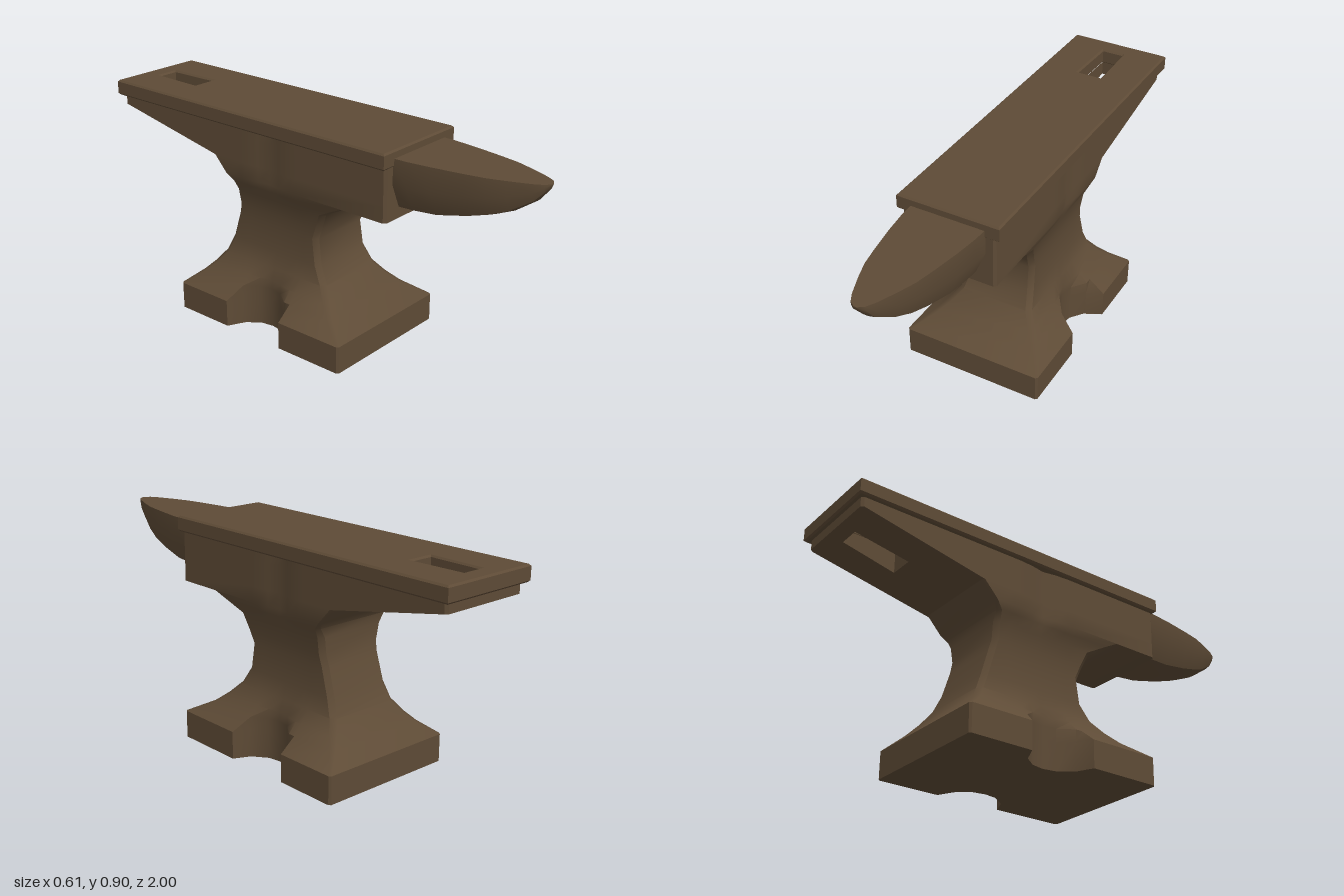
import * as THREE from 'three';
import { toCreasedNormals } from 'three/addons/utils/BufferGeometryUtils.js';

const HOLE = [[0.052, -0.69], [0.045, -0.92], [-0.045, -0.92], [-0.052, -0.69]];
const CREASE = 0.65;

// Skin a list of closed rings; optional end caps and a test for quads to leave open.
function loft(rings, { capStart = false, capEnd = false, skip = () => false } = {}) {
  const n = rings[0].length;
  const positions = [];
  const tri = (...pts) => pts.forEach((p) => positions.push(...p));
  for (let r = 0; r < rings.length - 1; r++) {
    for (let i = 0; i < n; i++) {
      if (skip(r, i)) continue;
      const j = (i + 1) % n;
      const [a, b, c, d] = [rings[r][i], rings[r][j], rings[r + 1][j], rings[r + 1][i]];
      tri(a, b, c);
      tri(a, c, d);
    }
  }
  const cap = (ring, flip) => {
    const mid = [0, 1, 2].map((k) => ring.reduce((s, p) => s + p[k], 0) / n);
    ring.forEach((p, i) => {
      const q = ring[(i + 1) % n];
      flip ? tri(mid, q, p) : tri(mid, p, q);
    });
  };
  if (capStart) cap(rings[0], true);
  if (capEnd) cap(rings[rings.length - 1], false);
  const geometry = new THREE.BufferGeometry();
  geometry.setAttribute('position', new THREE.Float32BufferAttribute(positions, 3));
  return toCreasedNormals(geometry, CREASE);
}

// Rectangle in x/z with the square tool hole cut out.
function holedRect(halfWidth, zFront, zBack) {
  const shape = new THREE.Shape([
    new THREE.Vector2(-halfWidth, zBack), new THREE.Vector2(halfWidth, zBack),
    new THREE.Vector2(halfWidth, zFront), new THREE.Vector2(-halfWidth, zFront),
  ]);
  shape.holes.push(new THREE.Path(HOLE.map(([x, z]) => new THREE.Vector2(x, z))));
  return shape;
}

export function createModel() {
  const model = new THREE.Group();
  model.name = 'anvil';
  const iron = new THREE.MeshStandardMaterial({ color: 0x5e4b36 });
  iron.name = 'brown iron';
  const add = (name, geometry) => {
    const mesh = new THREE.Mesh(geometry, iron);
    mesh.name = name;
    model.add(mesh);
    return mesh;
  };

  // Body levels: height, half width, front z, back z, corner chamfer
  const levels = [
    [0, 0.303, 0.31, -0.56, 0.008],
    [0.115, 0.303, 0.31, -0.56, 0.008],
    [0.17, 0.235, 0.21, -0.5, 0.015],
    [0.21, 0.2, 0.165, -0.465, 0.02],
    [0.26, 0.165, 0.12, -0.43, 0.02],
    [0.33, 0.15, 0.08, -0.4, 0.02],
    [0.44, 0.147, 0.065, -0.367, 0.02],
    [0.49, 0.152, 0.085, -0.355, 0.02],
    [0.56, 0.163, 0.115, -0.358, 0.02],
    [0.6, 0.182, 0.185, -0.36, 0.015],
    [0.63, 0.195, 0.24, -0.385, 0.01],
    [0.63, 0.195, 0.44, -0.385, 0.01],
    [0.695, 0.195, 0.44, -0.445, 0.01],
    [0.8, 0.195, 0.44, -0.98, 0.01],
    [0.845, 0.195, 0.44, -0.98, 0.01],
  ];
  // Scooped notch in each side of the foot: x limit and z
  const notch = [[0.303, 0], [0.235, -0.03], [0.19, -0.09], [0.18, -0.145],
    [0.19, -0.2], [0.235, -0.26], [0.303, -0.29]];
  const half = notch.length + 4;
  const rings = levels.map(([y, w, zf, zb, c]) => {
    const side = [
      [w - c, y, zf], [w, y, zf - c],
      ...notch.map(([x, z]) => [Math.min(x, w), y, z]),
      [w, y, zb + c], [w - c, y, zb],
    ];
    return [...side, ...side.map(([x, yy, z]) => [-x, yy, z]).reverse()];
  });
  const heelRing = levels.length - 3;
  add('body', loft(rings, { capStart: true, skip: (r, i) => r === heelRing && i === half - 1 }));

  // Sloping underside of the heel, pierced by the hole
  const heelY = (z) => 0.695 + (0.105 * (-0.445 - z)) / 0.535;
  const under = new THREE.ShapeGeometry(holedRect(0.185, -0.445, -0.98));
  const pos = under.attributes.position;
  for (let i = 0; i < pos.count; i++) {
    const z = pos.getY(i);
    pos.setXYZ(i, pos.getX(i), heelY(z), z);
  }
  under.computeVertexNormals();
  add('heelUnderside', under);

  // Inner walls of the hole, facing inward
  const inner = [...HOLE].reverse();
  add('holeWalls', loft([
    inner.map(([x, z]) => [x, heelY(z), z]),
    inner.map(([x, z]) => [x, 0.845, z]),
  ]));

  // Flat working face with a slim bevel
  const b = 0.007;
  const plate = new THREE.ExtrudeGeometry(holedRect(0.215, 0.445, -1), {
    depth: 0.065 - 2 * b, bevelThickness: b, bevelSize: b, bevelOffset: -b, bevelSegments: 1,
  });
  plate.rotateX(Math.PI / 2);
  add('facePlate', plate).position.y = 0.905 - b;

  // Horn: flat top, rounded belly, tapering to the tip
  const section = [[1, 0], [-1, 0], [-1, 0.47], [-0.74, 0.91], [-0.2, 1],
    [0.2, 1], [0.74, 0.91], [1, 0.47]];
  // z, half width, depth
  const stations = [[0.43, 0.155, 0.218], [0.5, 0.152, 0.216], [0.6, 0.14, 0.21], [0.72, 0.12, 0.183],
    [0.8, 0.104, 0.158], [0.87, 0.08, 0.128], [0.95, 0.048, 0.073], [0.985, 0.028, 0.03], [1, 0.006, 0.004]];
  add('horn', loft(
    stations.map(([z, w, d]) => section.map(([u, v]) => [u * w, 0.873 - v * d, z])),
    { capEnd: true },
  ));

  return model;
}
